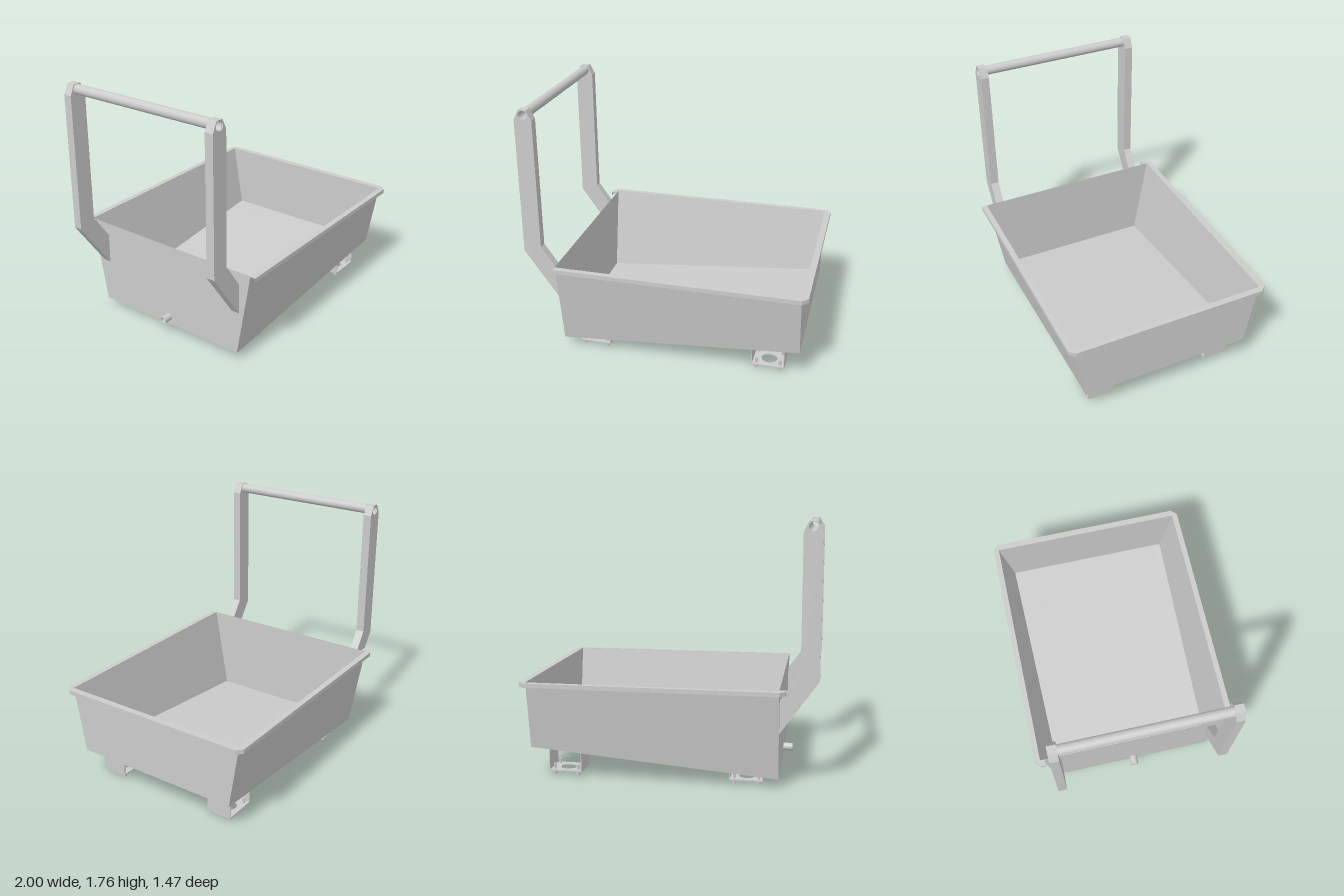
import * as THREE from 'three';

const mat = new THREE.MeshStandardMaterial({ color: 0xcccccc, side: THREE.DoubleSide });
const floorY = (x) => 0.06 + (x + 0.745) * 0.0885;
const halfWidth = (y) => 0.59 + (y - 0.06) * 0.17;
const TOP = 0.68, BACK = -0.745, FRONT = 0.95;

function add(parent, geo, name, x = 0, y = 0, z = 0) {
  const mesh = new THREE.Mesh(geo, mat);
  mesh.name = name;
  mesh.position.set(x, y, z);
  parent.add(mesh);
  return mesh;
}

// Flat four-cornered sheets, each with its own normals
function sheets(quads) {
  const pos = [];
  for (const [a, b, c, d] of quads) pos.push(...a, ...b, ...c, ...a, ...c, ...d);
  const geo = new THREE.BufferGeometry();
  geo.setAttribute('position', new THREE.Float32BufferAttribute(pos, 3));
  geo.computeVertexNormals();
  return geo;
}

const polygon = (pts) => new THREE.Shape(pts.map(([x, y]) => new THREE.Vector2(x, y)));

function circleHole(shape, x, y, r) {
  shape.holes.push(new THREE.Path().absarc(x, y, r, 0, Math.PI * 2, true));
}

const extrude = (shape, depth) =>
  new THREE.ExtrudeGeometry(shape, { depth, bevelEnabled: false, curveSegments: 16 });

// Hollow pipe lying along z, centred on the origin
function pipe(outer, inner, length) {
  const ring = new THREE.Shape().absarc(0, 0, outer, 0, Math.PI * 2, false);
  circleHole(ring, 0, 0, inner);
  return extrude(ring, length).translate(0, 0, -length / 2);
}

function makeTub() {
  const tub = new THREE.Group();
  tub.name = 'tub';
  // Corners of one end: bottom -z, bottom +z, top +z, top -z
  const end = (x) => {
    const y = floorY(x), b = halfWidth(y), t = halfWidth(TOP);
    return [[x, y, -b], [x, y, b], [x, TOP, t], [x, TOP, -t]];
  };
  const B = end(BACK), F = end(FRONT);
  add(tub, sheets([B]), 'handleEndWall');
  add(tub, sheets([[F[1], F[0], F[3], F[2]]]), 'farEndWall');
  add(tub, sheets([[B[1], F[1], F[2], B[2]]]), 'leftWall');
  add(tub, sheets([[F[0], B[0], B[3], F[3]]]), 'rightWall');
  add(tub, sheets([[B[0], F[0], F[1], B[1]]]), 'floor');

  // Folded rim on three sides, turned around one corner
  const outer = [[BACK, 0.735], [0.955, 0.735], [0.995, 0.695], [0.995, -0.695], [0.955, -0.735],
    [-0.75, -0.735], [-0.79, -0.695], [-0.79, -0.66]];
  const inner = [[BACK, -0.66], [BACK, -0.695], [FRONT, -0.695], [FRONT, 0.695], [BACK, 0.695]];
  add(tub, extrude(polygon([...outer, ...inner]), 0.006).rotateX(Math.PI / 2), 'rimTop', 0, TOP, 0);
  const lip = outer.slice(1).map(([x, z], i) => {
    const [px, pz] = outer[i];
    return [[px, 0.65, pz], [x, 0.65, z], [x, TOP, z], [px, TOP, pz]];
  });
  add(tub, sheets(lip), 'rimLip');

  add(tub, pipe(0.027, 0.02, 0.065).rotateY(Math.PI / 2), 'drainPipe', -0.7775, 0.12, 0);
  return tub;
}

function makeHandle() {
  const handle = new THREE.Group();
  handle.name = 'pushHandle';
  const cx = -0.9375, cy = 1.722;
  const leg = polygon([[-1, 1.69], [-1, 0.735], [BACK, 0.375], [BACK, 0.59], [-0.875, 0.775],
    [-0.875, 1.69], [-0.91, 1.758], [-0.965, 1.758]]);
  circleHole(leg, cx, cy, 0.033);
  const geo = extrude(leg, 0.06).translate(0, 0, -0.03);
  for (const s of [-1, 1]) add(handle, geo, s > 0 ? 'leftLeg' : 'rightLeg', 0, 0, s * 0.577);
  add(handle, pipe(0.034, 0.03, 1.2), 'gripBar', cx, cy, 0);
  return handle;
}

// Channel bracket with a pierced base plate and four bolts
function makeBracket(x, z) {
  const bracket = new THREE.Group();
  bracket.name = 'casterBracket';
  const hx = 0.115, hz = 0.094, t = 0.006;
  const plate = polygon([[-hx, -hz], [hx, -hz], [hx, hz], [-hx, hz]]);
  circleHole(plate, 0, 0, 0.055);
  add(bracket, extrude(plate, 0.01).rotateX(Math.PI / 2), 'basePlate', x, 0.036, z);
  for (const s of [-1, 1]) {
    const px = x + s * (hx - t / 2), h = floorY(px) - 0.027;
    add(bracket, new THREE.BoxGeometry(t, h, hz * 2), 'sidePlate', px, 0.027 + h / 2, z);
    for (const k of [-1, 1]) {
      const bx = x + s * 0.083, bz = z + k * 0.066;
      add(bracket, new THREE.CylinderGeometry(0.009, 0.009, 0.074, 12), 'boltShank', bx, 0.038, bz);
      add(bracket, new THREE.CylinderGeometry(0.015, 0.015, 0.025, 6), 'boltHead', bx, 0.0125, bz);
    }
  }
  return bracket;
}

export function createModel() {
  const model = new THREE.Group();
  model.name = 'tubCart';
  model.add(makeTub(), makeHandle());
  for (const x of [-0.527, 0.728])
    for (const z of [-0.46, 0.46]) model.add(makeBracket(x, z));
  return model;
}
